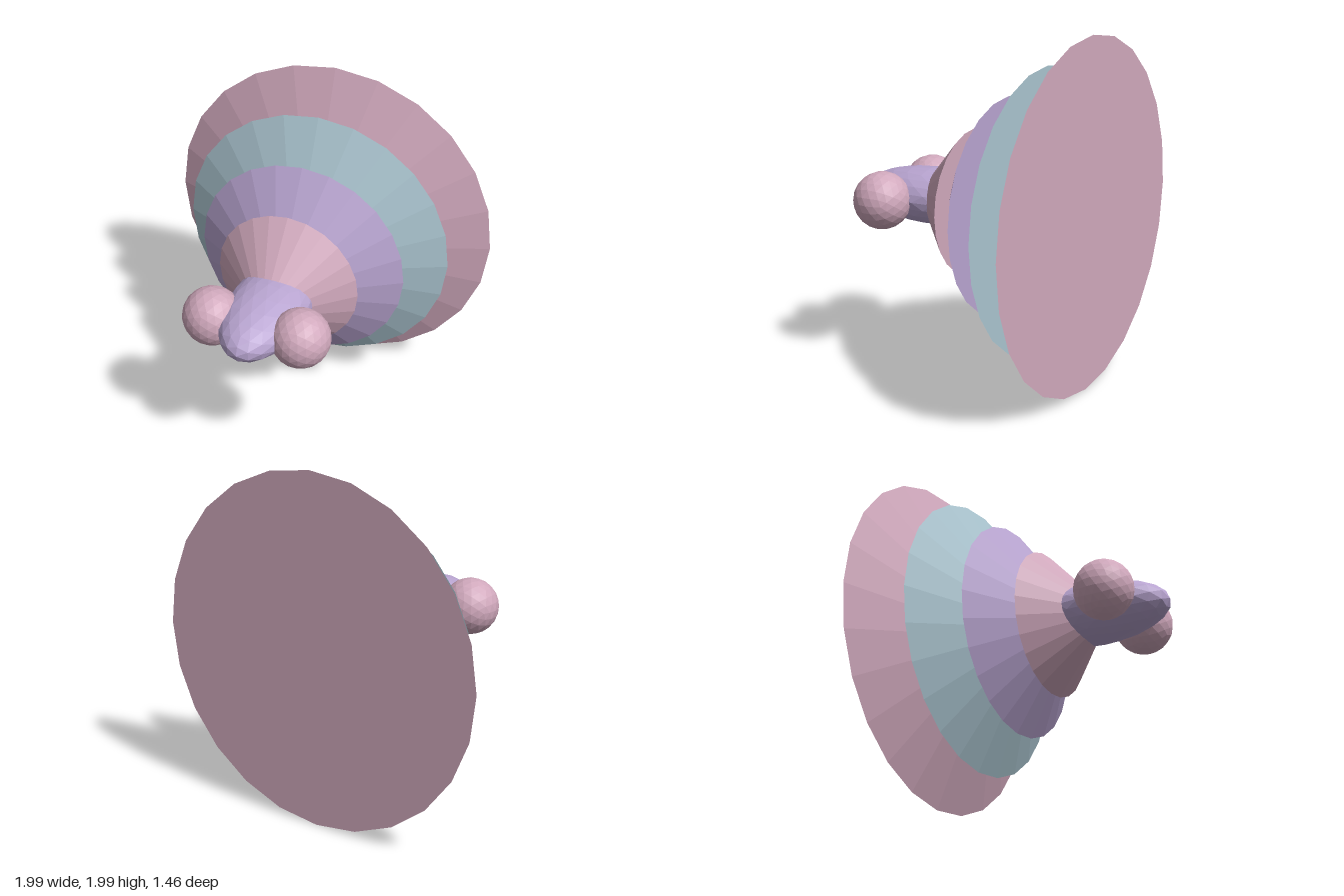
import * as THREE from 'three';

function mat(name, color) {
  const m = new THREE.MeshStandardMaterial({ color, flatShading: true });
  m.name = name;
  return m;
}

export function createModel() {
  const group = new THREE.Group();
  const pink = mat('dusty pink', 0xd1a9bd);
  const purple = mat('lavender', 0xb9a5d1);
  const teal = mat('pale teal', 0xabc5d0);
  const midY = 1.003;

  function add(name, geometry, material, x, y, z) {
    const mesh = new THREE.Mesh(geometry, material);
    mesh.name = name;
    mesh.position.set(x, y, z);
    group.add(mesh);
    return mesh;
  }

  // Nested cones pointing forward: name, base radius, base z, colour
  const height = 0.385;
  [
    ['frontCone', 0.425, -0.007, pink],
    ['secondCone', 0.625, -0.222, purple],
    ['thirdCone', 0.815, -0.468, teal],
    ['rearCone', 0.997, -0.735, pink],
  ].forEach(([name, radius, baseZ, material]) => {
    const cone = new THREE.ConeGeometry(radius, height, 24).rotateX(Math.PI / 2);
    add(name, cone, material, 0, midY, baseZ + height / 2);
  });

  // Long faceted body emerging from the front cone
  const body = new THREE.IcosahedronGeometry(1, 3).scale(0.23, 0.163, 0.45);
  add('body', body, purple, 0, midY, 0.28);

  // Round side balls, mirrored
  const ball = new THREE.IcosahedronGeometry(0.168, 3);
  for (const side of [1, -1]) {
    add(side > 0 ? 'leftBall' : 'rightBall', ball, pink, side * 0.262, midY, 0.455);
  }

  // Small ball tucked under the body, peeking out below the front cone
  add('lowerBall', new THREE.IcosahedronGeometry(0.16, 3), pink, 0, 0.83, -0.01);

  return group;
}
